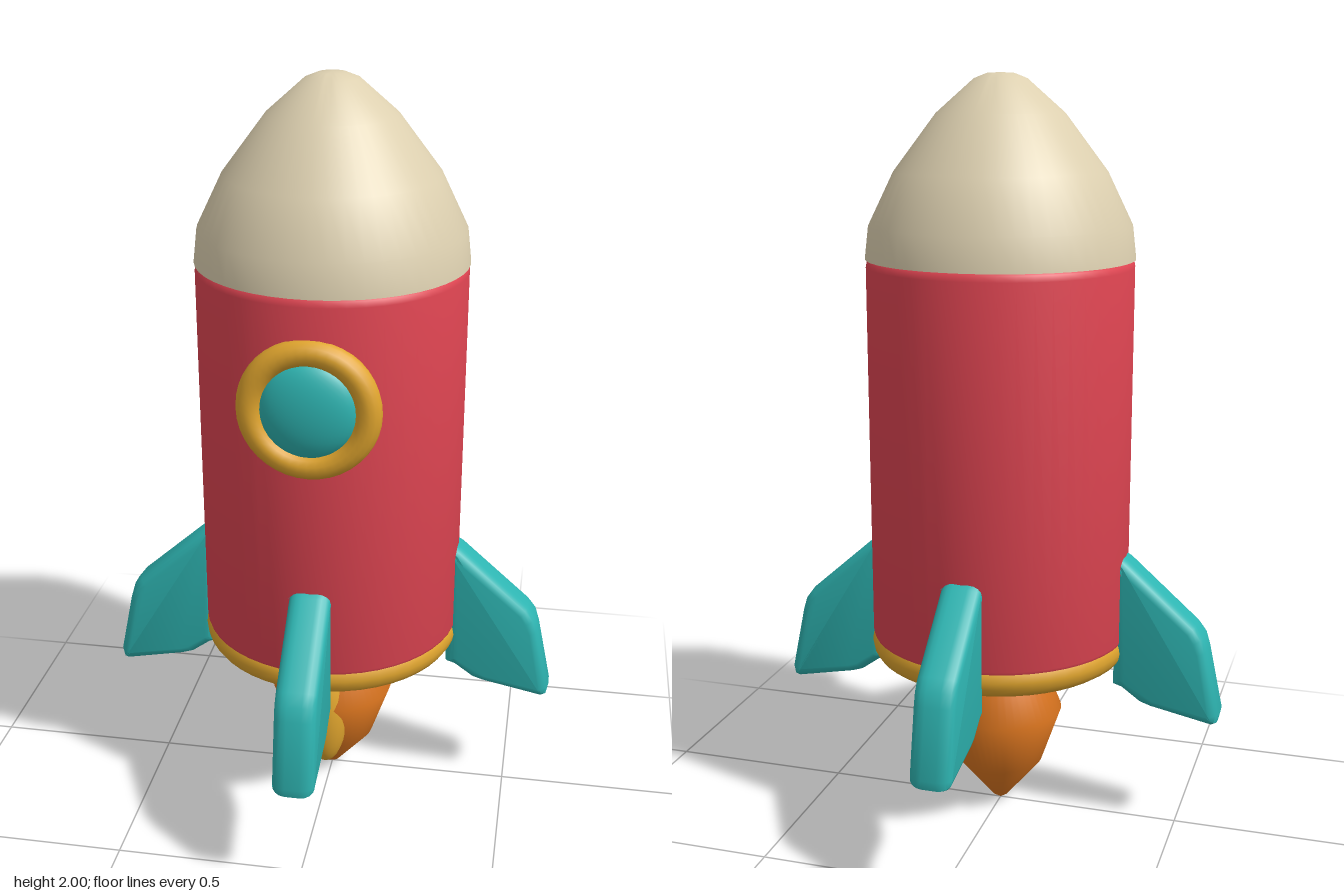
import * as THREE from 'three';
import { toCreasedNormals } from 'three/addons/utils/BufferGeometryUtils.js';

const paint = (name, color) => {
  const m = new THREE.MeshStandardMaterial({ color });
  m.name = name;
  return m;
};

export function createModel() {
  const rocket = new THREE.Group();
  rocket.name = 'rocket';
  const red = paint('red', 0xe04552);
  const cream = paint('cream', 0xddd0b0);
  const teal = paint('teal', 0x2eb5b2);
  const gold = paint('gold', 0xe0a52e);
  const orange = paint('orange', 0xe07820);

  const add = (name, geometry, material, x = 0, y = 0, z = 0) => {
    const mesh = new THREE.Mesh(geometry, material);
    mesh.name = name;
    mesh.position.set(x, y, z);
    rocket.add(mesh);
    return mesh;
  };
  // Turned part from a bottom-to-top profile of [radius, height]
  const turned = (profile) => toCreasedNormals(
    new THREE.LatheGeometry(profile.map(([r, y]) => new THREE.Vector2(r, y)), 48), 0.8);

  // Hull with softened rims
  add('body', turned([[0, 0.5], [0.33, 0.5], [0.343, 0.507], [0.349, 0.525],
    [0.349, 1.515], [0.346, 1.53], [0.335, 1.54], [0, 1.54]]), red);
  add('noseCone', turned([[0, 1.535], [0.351, 1.535], [0.341, 1.62], [0.275, 1.755],
    [0.165, 1.9], [0.068, 1.985], [0.035, 1.998], [0, 2]]), cream);

  // Engine collar
  const collar = add('baseRing', new THREE.TorusGeometry(0.301, 0.051, 16, 48), gold, 0, 0.495, 0);
  collar.rotation.x = Math.PI / 2;

  // Porthole on the front
  add('windowFrame', new THREE.TorusGeometry(0.146, 0.034, 14, 40), gold, 0, 1.257, 0.343);
  const glass = add('windowGlass', new THREE.SphereGeometry(0.125, 32, 16), teal, 0, 1.257, 0.345);
  glass.scale.z = 0.38;

  // Exhaust flame and its small front tongue
  add('flame', turned([[0, 0], [0.022, 0.015], [0.117, 0.13], [0.17, 0.283],
    [0.115, 0.425], [0.06, 0.5], [0, 0.505]]), orange);
  const tongue = add('flameTongue', new THREE.SphereGeometry(0.062, 24, 16), gold, 0, 0.25, 0.115);
  tongue.scale.y = 2.65;

  // Four swept fins with rounded edges
  const outline = [[0.325, 0.4], [0.35, 0.392], [0.4, 0.356], [0.43, 0.346], [0.595, 0.313],
    [0.61, 0.32], [0.615, 0.345], [0.578, 0.52], [0.567, 0.556], [0.545, 0.585],
    [0.36, 0.748], [0.34, 0.76], [0.325, 0.755]];
  const bevel = 0.035;
  const finGeometry = new THREE.ExtrudeGeometry(
    new THREE.Shape(outline.map(([x, y]) => new THREE.Vector2(x, y))),
    { depth: 0.108 - 2 * bevel, bevelThickness: bevel, bevelSize: 0.025, bevelOffset: -0.025, bevelSegments: 4 });
  finGeometry.translate(0, 0, bevel - 0.054);
  const finSmooth = toCreasedNormals(finGeometry, 0.7);
  ['finLeft', 'finBack', 'finRight', 'finFront'].forEach((name, i) => {
    add(name, finSmooth, teal).rotation.y = i * Math.PI / 2;
  });

  return rocket;
}
